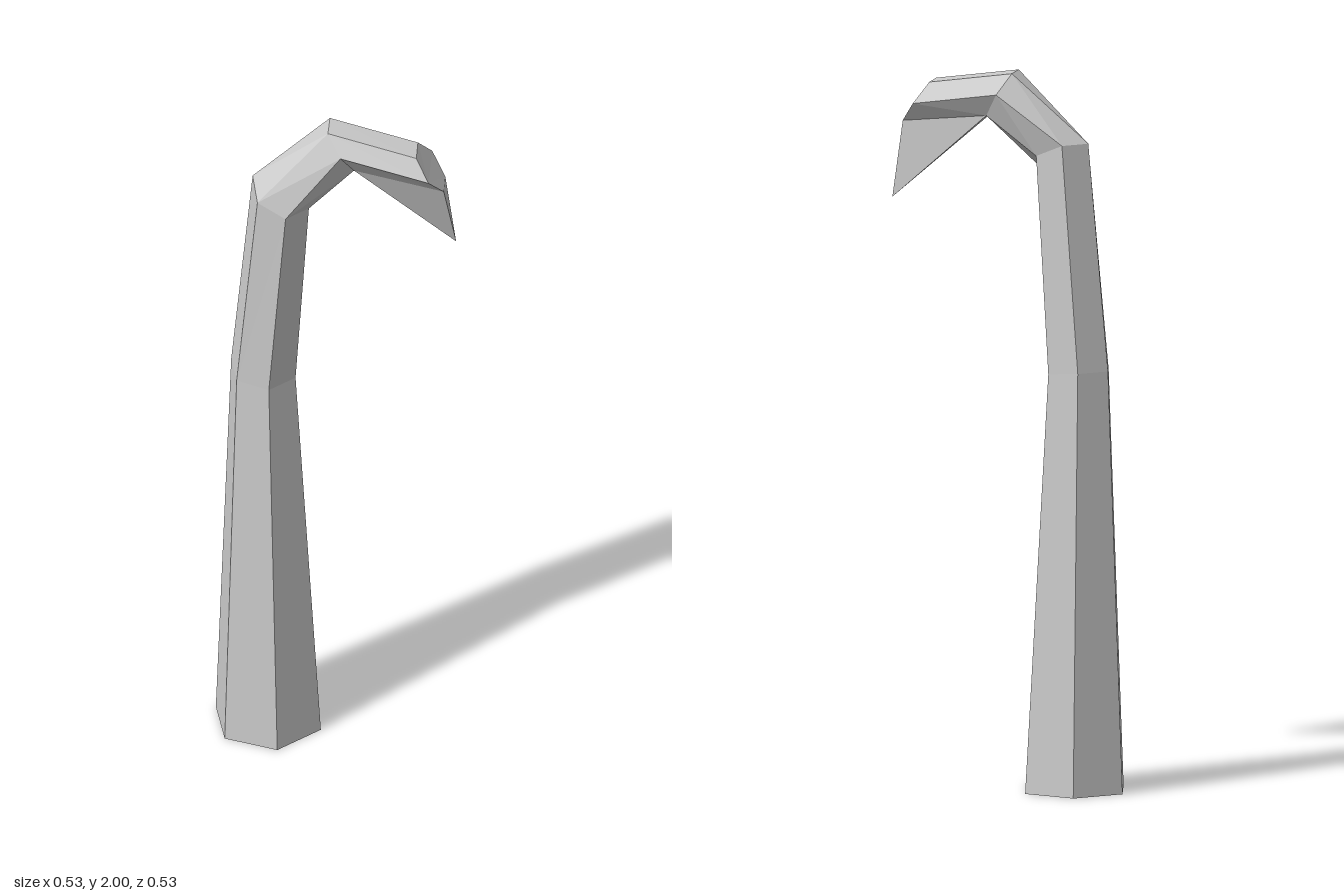
import * as THREE from 'three';

const material = new THREE.MeshStandardMaterial({ color: 0xcccccc, flatShading: true });

// Mesh from a flat list of triangle corners
function facetMesh(name, corners) {
  const geometry = new THREE.BufferGeometry().setFromPoints(corners);
  geometry.computeVertexNormals();
  const mesh = new THREE.Mesh(geometry, material);
  mesh.name = name;
  return mesh;
}

// Level six-sided section of the stem; tilt raises the back edge and lowers the front
function stemRing(x, y, z, radius, tilt = 0) {
  return Array.from({ length: 6 }, (_, i) => {
    const a = (i - 2) * Math.PI / 3;
    const dz = Math.sin(a);
    return new THREE.Vector3(x + radius * Math.cos(a), y - tilt * dz, z + radius * dz);
  });
}

const points = (list) => list.map((p) => new THREE.Vector3(...p));

// Quads between two rings, optionally leaving one side open
function bridge(low, high, skip = -1) {
  const out = [];
  for (let i = 0; i < 6; i++) {
    if (i === skip) continue;
    const j = (i + 1) % 6;
    out.push(low[j], low[i], high[i], low[j], high[i], high[j]);
  }
  return out;
}

function cap(ring) {
  const out = [];
  for (let i = 1; i < 5; i++) out.push(ring[0], ring[i], ring[i + 1]);
  return out;
}

export function createModel() {
  const group = new THREE.Group();
  group.name = 'hookedPost';

  // Stem sections; point order runs back left, back right, right, front right, front left, left
  const r = [
    [-0.11, 0, -0.13, 0.155],
    [-0.113, 1.17, -0.148, 0.095, 0.01],
    [-0.087, 1.775, -0.104, 0.083, 0.04],
  ].map((s) => stemRing(...s));
  // Swap winding start so that index 0 is the back left corner
  r.forEach((ring) => ring.unshift(ring.pop()));

  // Mitred elbow and the slanted end of the arm, in the same order
  const elbow = points([
    [-0.012, 2, 0.01], [0.04, 2, -0.045], [0.093, 1.945, -0.05],
    [0.093, 1.88, 0.005], [0.04, 1.88, 0.06], [-0.012, 1.945, 0.065],
  ]);
  const end = points([
    [0.138, 1.96, 0.212], [0.19, 1.96, 0.155], [0.245, 1.905, 0.15],
    [0.245, 1.85, 0.207], [0.195, 1.85, 0.262], [0.138, 1.905, 0.265],
  ]);

  group.add(facetMesh('stem', [...cap(r[0]), ...bridge(r[0], r[1]), ...bridge(r[1], r[2])]));
  group.add(facetMesh('elbow', bridge(r[2], elbow)));
  group.add(facetMesh('arm', [...bridge(elbow, end, 3), ...cap([...end].reverse())]));

  // Spike drawn from the underside of the arm down to a point
  const tip = new THREE.Vector3(0.265, 1.635, 0.23);
  const rim = [elbow[4], elbow[3], end[3], end[4]];
  group.add(facetMesh('hookTip', rim.flatMap((p, i) => [p, rim[(i + 1) % 4], tip])));

  return group;
}
